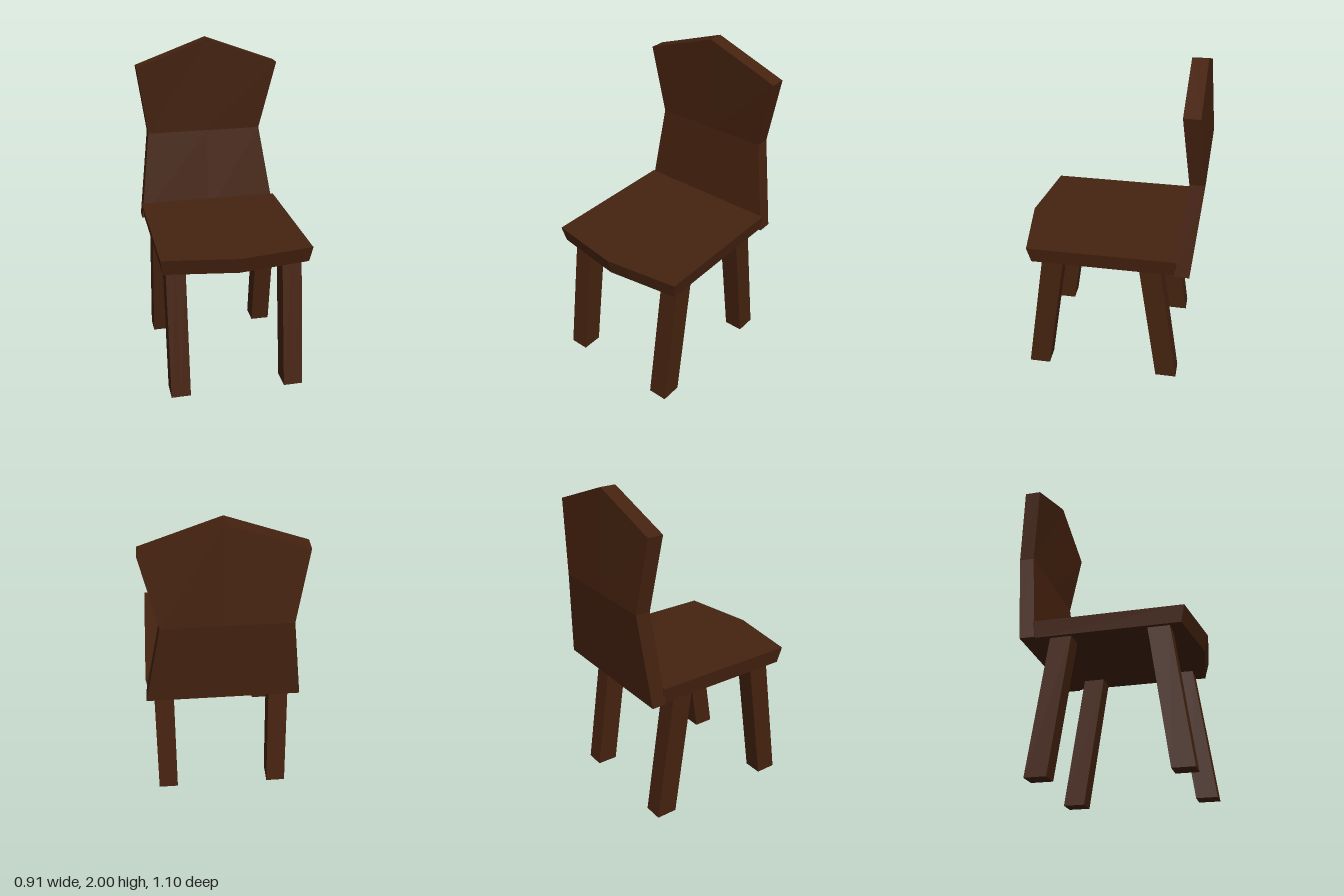
import * as THREE from 'three';

// Six-cornered cross-section: front left, front middle, front right, then the back edge.
// zMid pushes the front middle out, yMid raises the middle.
function ring({ y, xl, xr, zf, zb, zMid = zf, yMid = y, xm = (xl + xr) / 2 }) {
  return [
    [xl, y, zf], [xm, yMid, zMid], [xr, y, zf],
    [xr, y, zb], [xm, yMid, zb], [xl, y, zb],
  ];
}

// Flat-faced solid through a stack of rings, listed bottom to top.
function loft(sections) {
  const rings = sections.map(ring);
  const pos = [];
  const quad = (a, b, c, d) => pos.push(...a, ...b, ...c, ...a, ...c, ...d);
  for (let k = 0; k < rings.length - 1; k++) {
    const lo = rings[k], hi = rings[k + 1];
    for (let i = 0; i < 6; i++) {
      const j = (i + 1) % 6;
      quad(lo[i], lo[j], hi[j], hi[i]);
    }
  }
  const t = rings[rings.length - 1], b = rings[0];
  quad(t[0], t[1], t[4], t[5]);
  quad(t[1], t[2], t[3], t[4]);
  quad(b[5], b[4], b[1], b[0]);
  quad(b[4], b[3], b[2], b[1]);
  const geo = new THREE.BufferGeometry();
  geo.setAttribute('position', new THREE.Float32BufferAttribute(pos, 3));
  geo.computeVertexNormals();
  return geo;
}

export function createModel() {
  const group = new THREE.Group();
  const wood = new THREE.MeshStandardMaterial({ color: 0x45220f, flatShading: true });
  wood.name = 'darkWood';

  const add = (name, sections) => {
    const mesh = new THREE.Mesh(loft(sections), wood);
    mesh.name = name;
    group.add(mesh);
  };

  // Seat with a pointed, undercut front edge
  add('seat', [
    { y: 0.82, xl: -0.44, xr: 0.44, zf: 0.46, zMid: 0.525, zb: -0.415 },
    { y: 0.92, xl: -0.455, xr: 0.455, zf: 0.483, zMid: 0.55, zb: -0.415 },
  ]);

  // Backrest, bent and narrowed at the waist, with a peaked top
  add('backrest', [
    { y: 0.82, xl: -0.455, xr: 0.455, zf: -0.405, zb: -0.495 },
    { y: 1.39, xl: -0.388, xr: 0.355, xm: 0, zf: -0.46, zb: -0.55 },
    { y: 1.835, yMid: 2, xl: -0.455, xr: 0.455, zf: -0.415, zb: -0.51 },
  ]);

  // Splayed legs: [name, x from, x to, z front at top, z front at floor]
  const legs = [
    ['frontLeftLeg', 0.292, 0.412, 0.4, 0.52],
    ['frontRightLeg', -0.415, -0.296, 0.39, 0.505],
    ['backLeftLeg', 0.292, 0.412, -0.19, -0.31],
    ['backRightLeg', -0.415, -0.296, -0.19, -0.31],
  ];
  for (const [name, xl, xr, top, floor] of legs) {
    add(name, [
      { y: 0, xl, xr, zf: floor, zb: floor - 0.13 },
      { y: 0.825, xl, xr, zf: top, zb: top - 0.13 },
    ]);
  }

  return group;
}
